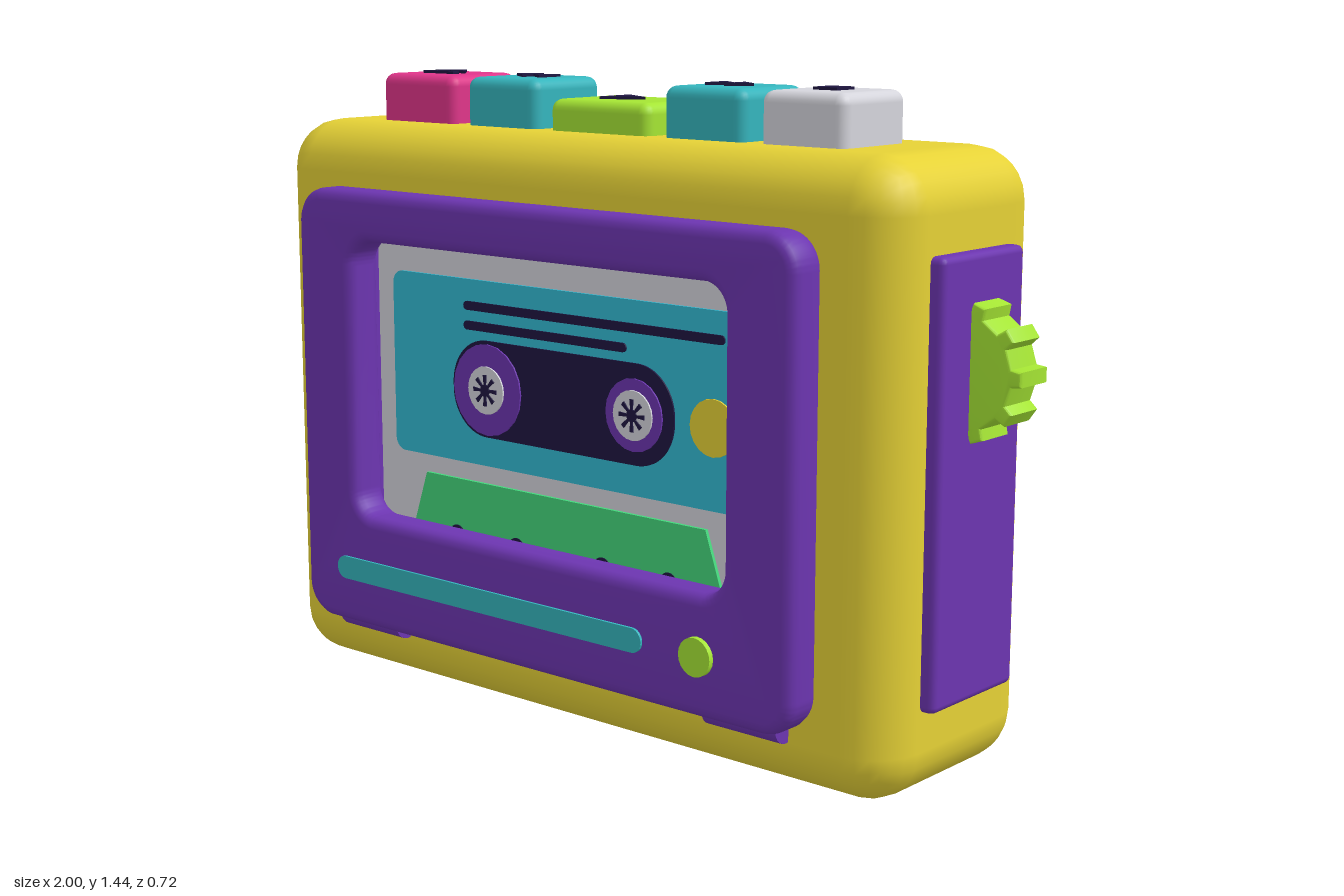
import * as THREE from 'three';
import { toCreasedNormals, mergeGeometries } from 'three/addons/utils/BufferGeometryUtils.js';
import { RoundedBoxGeometry } from 'three/addons/geometries/RoundedBoxGeometry.js';

const mat = (color) => new THREE.MeshStandardMaterial({ color });
const YELLOW = mat(0xe6d236), PURPLE = mat(0x6c35b0), TEAL = mat(0x35b5bd), GREEN = mat(0xa5e534);
const PINK = mat(0xe0358a), WHITE = mat(0xd5d5dc), DARK = mat(0x1e1640);
const LABEL = mat(0x33bbd4), MINT = mat(0x44d67c);

function add(parent, name, geometry, material, x = 0, y = 0, z = 0) {
  const mesh = new THREE.Mesh(geometry, material);
  mesh.name = name;
  mesh.position.set(x, y, z);
  parent.add(mesh);
  return mesh;
}

// Rounded box given by its limits
function block(parent, name, material, [x0, x1], [y0, y1], [z0, z1], r = 0.015, seg = 2) {
  return add(parent, name, new RoundedBoxGeometry(x1 - x0, y1 - y0, z1 - z0, seg, r), material,
    (x0 + x1) / 2, (y0 + y1) / 2, (z0 + z1) / 2);
}

// Rounded rectangle outline
function roundRect(x0, x1, y0, y1, r, Type = THREE.Shape) {
  const s = new Type();
  s.absarc(x1 - r, y1 - r, r, 0, Math.PI / 2);
  s.absarc(x0 + r, y1 - r, r, Math.PI / 2, Math.PI);
  s.absarc(x0 + r, y0 + r, r, Math.PI, Math.PI * 1.5);
  s.absarc(x1 - r, y0 + r, r, Math.PI * 1.5, Math.PI * 2);
  s.closePath();
  return s;
}

const polygon = (pts) => new THREE.Shape(pts.map(([x, y]) => new THREE.Vector2(x, y)));
const circle = (r) => new THREE.Shape().absarc(0, 0, r, 0, Math.PI * 2);

// Star or gear outline: each tooth is four points
function gear(teeth, inner, outer, duty) {
  const pts = [], step = Math.PI * 2 / teeth;
  for (let i = 0; i < teeth; i++) {
    for (const [r, k] of [[inner, -duty * 1.4], [outer, -duty], [outer, duty], [inner, duty * 1.4]]) {
      const a = (i + k) * step;
      pts.push([r * Math.cos(a), r * Math.sin(a)]);
    }
  }
  return polygon(pts);
}

function extrude(shape, depth, bevel = 0) {
  const g = new THREE.ExtrudeGeometry(shape, {
    depth: depth - 2 * bevel, curveSegments: 10, bevelEnabled: bevel > 0,
    bevelThickness: bevel, bevelSize: bevel, bevelOffset: -bevel, bevelSegments: 3,
  });
  return toCreasedNormals(g.translate(0, 0, bevel), 0.6);
}

// Rounded case whose flat front is replaced by one with a window opening
function caseGeometry(w, h, d, r, hole) {
  const box = new RoundedBoxGeometry(w, h, d, 3, r);
  const p = box.attributes.position, n = box.attributes.normal;
  const pos = [], nor = [];
  for (let i = 0; i < p.count; i += 3) {
    if ([0, 1, 2].every((k) => p.getZ(i + k) > d / 2 - 1e-4)) continue;
    for (let k = i; k < i + 3; k++) {
      pos.push(p.getX(k), p.getY(k), p.getZ(k));
      nor.push(n.getX(k), n.getY(k), n.getZ(k));
    }
  }
  const shell = new THREE.BufferGeometry();
  shell.setAttribute('position', new THREE.Float32BufferAttribute(pos, 3));
  shell.setAttribute('normal', new THREE.Float32BufferAttribute(nor, 3));
  const x = w / 2 - r, y = h / 2 - r;
  const front = polygon([[-x, -y], [x, -y], [x, y], [-x, y]]);
  front.holes.push(hole);
  const face = new THREE.ShapeGeometry(front).toNonIndexed().translate(0, 0, d / 2);
  face.deleteAttribute('uv');
  return mergeGeometries([shell, face]);
}

function createModel() {
  const model = new THREE.Group();
  model.name = 'cassettePlayer';

  // Case
  const opening = roundRect(-0.6, 0.6, -0.33, 0.43, 0.05, THREE.Path);
  add(model, 'case', caseGeometry(1.8, 1.32, 0.54, 0.115, opening), YELLOW, -0.05, 0.66, -0.01);

  // Door frame with its trim and hinges
  const door = new THREE.Group();
  door.name = 'door';
  model.add(door);
  const frame = roundRect(-0.78, 0.68, 0.15, 1.175, 0.08);
  frame.holes.push(roundRect(-0.6, 0.5, 0.415, 1.06, 0.06, THREE.Path));
  add(door, 'doorFrame', extrude(frame, 0.095, 0.025), PURPLE, 0, 0, 0.253);
  add(door, 'doorStripe', extrude(roundRect(-0.66, 0.29, 0.258, 0.312, 0.027), 0.02), TEAL, 0, 0, 0.334);
  add(door, 'doorButton', extrude(circle(0.042), 0.03), GREEN, 0.44, 0.285, 0.33);
  for (const x of [-0.6125, 0.5125]) {
    add(door, 'hinge', new THREE.CylinderGeometry(0.036, 0.036, 0.195, 20).rotateZ(Math.PI / 2),
      PURPLE, x, 0.151, 0.268);
  }

  // Cassette behind the window
  const cassette = new THREE.Group();
  cassette.name = 'cassette';
  cassette.position.z = 0.225;
  model.add(cassette);
  block(cassette, 'cassetteShell', WHITE, [-0.645, 0.545], [0.335, 1.085], [-0.12, 0]);
  const layer = (name, shape, material, z, x = 0, y = 0) =>
    add(cassette, name, extrude(shape, 0.008), material, x, y, z);
  layer('label', roundRect(-0.58, 0.48, 0.56, 0.985, 0.03), LABEL, -0.002);
  layer('writingLine', roundRect(-0.345, 0.415, 0.915, 0.935, 0.01), DARK, 0.002);
  layer('writingLine', roundRect(-0.345, 0.145, 0.87, 0.89, 0.01), DARK, 0.002);
  layer('reelWindow', roundRect(-0.38, 0.28, 0.628, 0.85, 0.105), DARK, 0.002);
  layer('labelDot', circle(0.062), YELLOW, 0.002, 0.385, 0.738);
  for (const [x, r] of [[-0.27, 0.105], [0.17, 0.08]]) {
    layer('tapeReel', circle(r), PURPLE, 0.006, x, 0.738);
    layer('reelHub', circle(0.055), WHITE, 0.01, x, 0.738);
    layer('reelSpokes', gear(8, 0.014, 0.036, 0.18), DARK, 0.013, x, 0.738);
  }
  layer('headGuard', polygon([[-0.53, 0.345], [0.43, 0.345], [0.37, 0.52], [-0.47, 0.52]]), MINT, 0.006);
  for (const x of [-0.37, -0.18, 0.08, 0.27]) layer('guardHole', circle(0.025), DARK, 0.008, x, 0.385);

  // Side panels
  block(model, 'leftPanel', PURPLE, [0.83, 0.882], [0.2, 1.125], [-0.155, 0.14]);
  block(model, 'rightPanel', PURPLE, [-0.982, -0.93], [0.2, 1.125], [-0.155, 0.14]);

  // Volume wheel and headphone socket
  add(model, 'volumeWheel', extrude(gear(10, 0.122, 0.145, 0.17), 0.1, 0.006), GREEN, 0.855, 0.885, -0.06);
  const ring = circle(0.053);
  ring.holes.push(new THREE.Path().absarc(0, 0, 0.026, 0, Math.PI * 2));
  const socket = add(model, 'headphoneSocket', extrude(ring, 0.025, 0.005), TEAL, -0.975, 1.008, -0.01);
  socket.rotation.y = -Math.PI / 2;
  const hole = add(model, 'socketHole', new THREE.CircleGeometry(0.03, 20), DARK, -0.985, 1.008, -0.01);
  hole.rotation.y = -Math.PI / 2;

  // Belt clip on the back
  block(model, 'clipPlate', PURPLE, [-0.31, 0.21], [0.35, 1.11], [-0.317, -0.26], 0.012);
  block(model, 'clipLip', PURPLE, [-0.315, 0.215], [1.032, 1.127], [-0.357, -0.265], 0.02);

  // Control keys with their symbols
  const triangle = (x, w, h) => polygon([[x - w / 2, -h], [x + w / 2, 0], [x - w / 2, h]]);
  const square = (w, h, y = 0) => polygon([[-w, y - h], [w, y - h], [w, y + h], [-w, y + h]]);
  const skip = (s) => [-0.026, 0.026].map((x) => {
    const w = 0.052 * s;
    return polygon(s > 0
      ? [[x - w / 2, -0.036], [x + w / 2, 0], [x - w / 2, 0.036]]
      : [[x - w / 2, 0.036], [x + w / 2, 0], [x - w / 2, -0.036]].reverse());
  });
  const keys = [
    ['ejectKey', PINK, -0.725, -0.483, 1.43, [polygon([[-0.05, 0], [0.05, 0], [0, 0.055]]), square(0.05, 0.01, -0.03)]],
    ['rewindKey', TEAL, -0.443, -0.222, 1.43, skip(-1)],
    ['playKey', GREEN, -0.183, 0.107, 1.39, [triangle(0, 0.09, 0.05)]],
    ['forwardKey', TEAL, 0.148, 0.368, 1.43, skip(1)],
    ['stopKey', WHITE, 0.41, 0.626, 1.43, [square(0.03, 0.03)]],
  ];
  for (const [name, material, x0, x1, top, symbols] of keys) {
    block(model, name, material, [x0, x1], [1.25, top], [-0.098, 0.122], 0.025, 3);
    for (const shape of symbols) {
      add(model, name + 'Symbol', extrude(shape, 0.01).rotateX(-Math.PI / 2), DARK, (x0 + x1) / 2, top - 0.004, 0.012);
    }
  }
  return model;
}

export { createModel };
